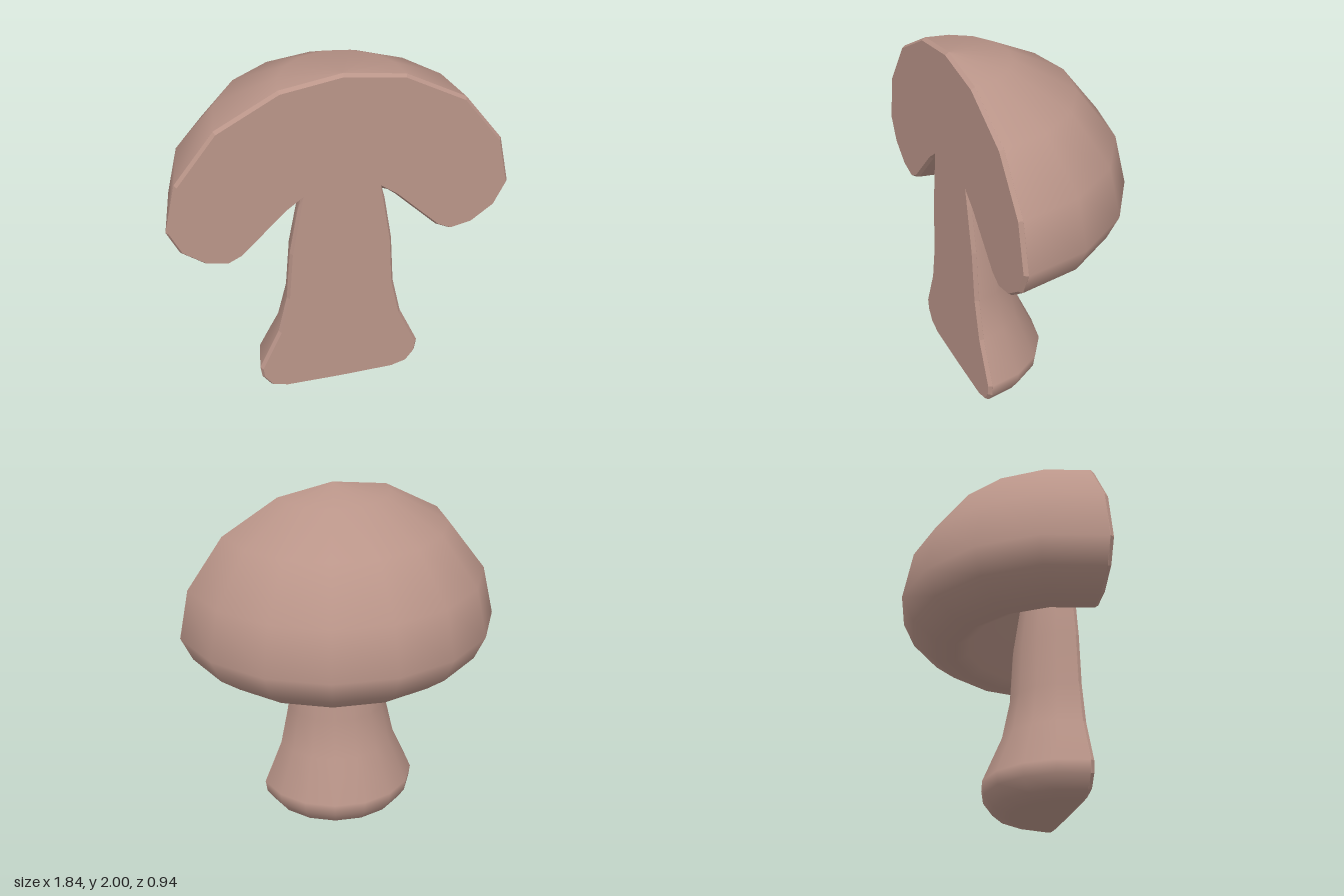
import * as THREE from 'three';

const AXIS_Z = 0.445; // revolve axis, just behind the sliced front
const BEVEL = 0.02;

const toPoints = (list) => list.map(([x, y]) => new THREE.Vector2(x, y));

// Half profiles (radius, height), running from the bottom up
const stemProfile = toPoints([
  [0, 0], [0.31, 0.004], [0.4, 0.03], [0.45, 0.1], [0.46, 0.17], [0.35, 0.42],
  [0.3, 0.65], [0.28, 0.95], [0.235, 1.22], [0.215, 1.3],
]);
const capProfile = toPoints([
  [0.215, 1.3], [0.29, 1.235], [0.53, 0.99], [0.61, 0.95], [0.73, 0.975], [0.855, 1.07],
  [0.92, 1.21], [0.86, 1.49], [0.65, 1.77], [0.325, 1.95], [0, 2],
]);

export function createModel() {
  const flesh = new THREE.MeshStandardMaterial({ color: 0xba9589 });
  flesh.name = 'mushroom flesh';

  const model = new THREE.Group();
  model.name = 'halfMushroom';

  const add = (name, geometry, z) => {
    const mesh = new THREE.Mesh(geometry, flesh);
    mesh.name = name;
    mesh.position.z = z;
    model.add(mesh);
  };

  // Rounded back half of stem and cap
  const halfLathe = (profile) => new THREE.LatheGeometry(profile, 8, Math.PI / 2, Math.PI);
  add('stem', halfLathe(stemProfile), AXIS_Z);
  add('cap', halfLathe(capProfile), AXIS_Z);

  // Flat sliced front with a small bevel around its silhouette
  const right = [...stemProfile, ...capProfile.slice(1)];
  const left = right.slice(1, -1).reverse().map((p) => new THREE.Vector2(-p.x, p.y));
  const slice = new THREE.ExtrudeGeometry(new THREE.Shape([...right, ...left]), {
    depth: 0.002,
    bevelEnabled: true,
    bevelSegments: 1,
    bevelThickness: BEVEL,
    bevelSize: 0.013,
    bevelOffset: -0.013,
  });
  add('cutFace', slice, AXIS_Z - 0.002);

  return model;
}
